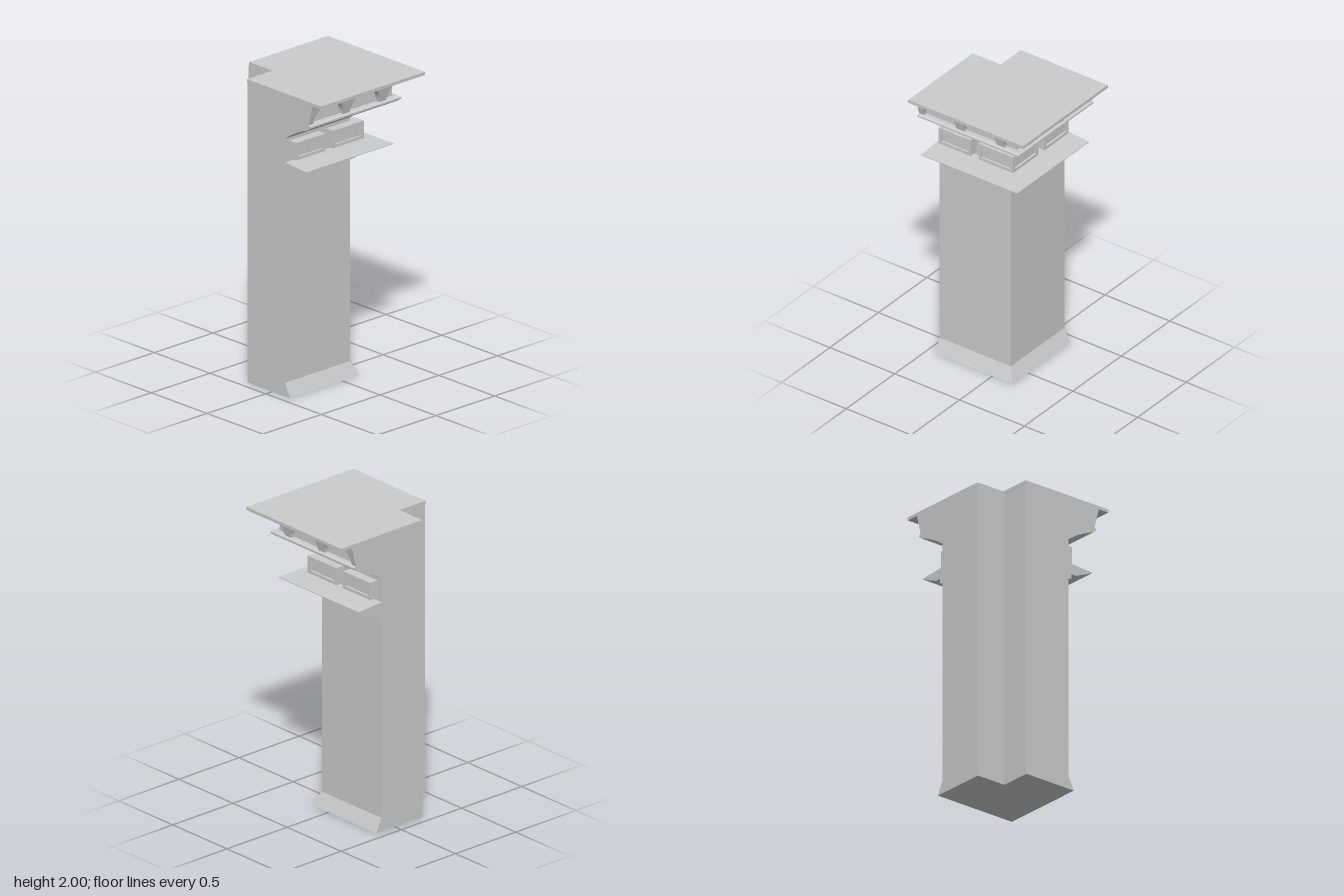
import * as THREE from 'three';
import { toCreasedNormals } from 'three/addons/utils/BufferGeometryUtils.js';

const C = 0.108;                 // outer shaft face (same on the front and the left side)
const END = -0.443, NOTCH = -0.231; // cut planes at the back
const material = new THREE.MeshStandardMaterial({ color: 0xcccccc });

// L-shaped plan whose two outer faces stand proud of the shaft by d
const plan = (d) => [
  [C + d, C + d], [C + d, END], [NOTCH, END], [NOTCH, NOTCH], [END, NOTCH], [END, C + d],
];
const planShape = (pts) => new THREE.Shape(pts.map(([x, z]) => new THREE.Vector2(x, z)));

// Loft the plan through a list of [offset, height]
function loft(profile) {
  const pos = [];
  for (let i = 0; i < profile.length - 1; i++) {
    const lo = plan(profile[i][0]), hi = plan(profile[i + 1][0]);
    const y0 = profile[i][1], y1 = profile[i + 1][1];
    for (let j = 0; j < 6; j++) {
      const k = (j + 1) % 6;
      const a = [lo[j][0], y0, lo[j][1]], b = [lo[k][0], y0, lo[k][1]];
      const c = [hi[k][0], y1, hi[k][1]], d = [hi[j][0], y1, hi[j][1]];
      pos.push(...a, ...b, ...c, ...a, ...c, ...d);
    }
  }
  const geo = new THREE.BufferGeometry();
  geo.setAttribute('position', new THREE.Float32BufferAttribute(pos, 3));
  return toCreasedNormals(geo, 0.3);
}

// Copy a front piece to the left side by swapping x and z
function swapSides(source) {
  const geo = source.index ? source.toNonIndexed() : source.clone();
  const p = geo.attributes.position, src = p.clone();
  for (let i = 0; i < p.count; i++) {
    const s = i % 3 === 0 ? i : i % 3 === 1 ? i + 1 : i - 1;
    p.setXYZ(i, src.getZ(s), src.getY(s), src.getX(s));
  }
  return toCreasedNormals(geo, 0.5);
}

// Flared arcade panel with two whole arches and a half arch at the corner
function arcadeGeometry() {
  const y = 1.845, r = 0.125;
  const s = new THREE.Shape();
  s.moveTo(END, y);
  for (const cx of [-0.28, 0.03]) {
    s.lineTo(cx - r, y);
    s.absarc(cx, y, r, Math.PI, 0, true);
  }
  s.lineTo(0.34 - r, y);
  s.absarc(0.34, y, r, Math.PI, Math.PI / 2, true);
  s.lineTo(0.37, y + r);
  s.lineTo(0.37, 1.98);
  s.lineTo(END, 1.98);
  const geo = new THREE.ExtrudeGeometry(s, { depth: 1, bevelEnabled: false, curveSegments: 20 });
  const p = geo.attributes.position;
  for (let i = 0; i < p.count; i++) {
    const d = p.getZ(i) > 0.5 ? 0.212 + (p.getY(i) - y) * 0.26 : 0.18;
    p.setX(i, Math.min(p.getX(i), C + d)); // mitre at the corner
    p.setZ(i, C + d);
  }
  return toCreasedNormals(geo, 0.5);
}

// Raised rim around a sunken panel
function rimGeometry(u0, u1, y0, y1, z, depth) {
  const rect = (m, T) => new T([
    [u0 + m, y0 + m], [u1 - m, y0 + m], [u1 - m, y1 - m], [u0 + m, y1 - m],
  ].map(([x, y]) => new THREE.Vector2(x, y)));
  const s = rect(0, THREE.Shape);
  s.holes.push(rect(0.02, THREE.Path));
  return new THREE.ExtrudeGeometry(s, { depth, bevelEnabled: false }).translate(0, 0, z);
}

export function createModel() {
  const model = new THREE.Group();
  model.name = 'cornerPilaster';
  const body = new THREE.Group();
  body.name = 'pilasterBody';
  body.position.z = 0.006;
  model.add(body);

  const add = (name, geo, parent = body) => {
    const mesh = new THREE.Mesh(geo, material);
    mesh.name = name;
    parent.add(mesh);
  };
  const addBoth = (name, geo) => {
    add(name + 'Front', geo);
    add(name + 'Left', swapSides(geo));
  };

  // Shaft with splayed foot, moulding stack and cove
  add('shaft', loft([[0.045, 0], [0, 0.09], [0, 1.435]]));
  add('necking', loft([[0, 1.435], [0.027, 1.435], [0.027, 1.47], [0.065, 1.47]]));
  add('ledge', loft([[0.065, 1.47], [0.19, 1.525], [0.19, 1.53], [0, 1.543]]));
  add('panelBand', loft([[0, 1.543], [0, 1.7]]));
  add('cove', loft([
    [0, 1.7], [0.03, 1.722], [0.07, 1.748], [0.12, 1.774], [0.17, 1.796], [0.205, 1.81],
    [0.225, 1.825], [0.225, 1.836], [0.212, 1.845], [0.185, 1.845],
  ]));
  add('friezeCore', loft([[0.185, 1.845], [0.185, 1.98]]));
  add('footUnderside', new THREE.ShapeGeometry(planShape(plan(0.045))).rotateX(Math.PI / 2));

  // Framed blocks: one along each face and one wrapping the corner
  const y0 = 1.563, y1 = 1.678, out = 0.062, rim = 0.014, face = C + out - rim;
  const block = (u0, u1, z0) => new THREE.BoxGeometry(u1 - u0, y1 - y0, face - z0)
    .translate((u0 + u1) / 2, (y0 + y1) / 2, (z0 + face) / 2);
  addBoth('block', block(-0.405, -0.157, C - 0.02));
  addBoth('blockRim', rimGeometry(-0.405, -0.157, y0, y1, face, rim));
  add('cornerBlock', block(-0.095, face, -0.095));
  addBoth('cornerBlockRim', rimGeometry(-0.095, C + out, y0, y1, face, rim));

  // Arcaded frieze
  addBoth('arcade', arcadeGeometry());

  // Thin top slab
  const slab = planShape([
    [0.443, 0.437], [0.443, -0.437], [-0.228, -0.437], [-0.228, -0.229], [-0.443, -0.229], [-0.443, 0.437],
  ]);
  add('topSlab', new THREE.ExtrudeGeometry(slab, { depth: 0.021, bevelEnabled: false })
    .rotateX(Math.PI / 2).translate(0, 2, 0), model);

  return model;
}
